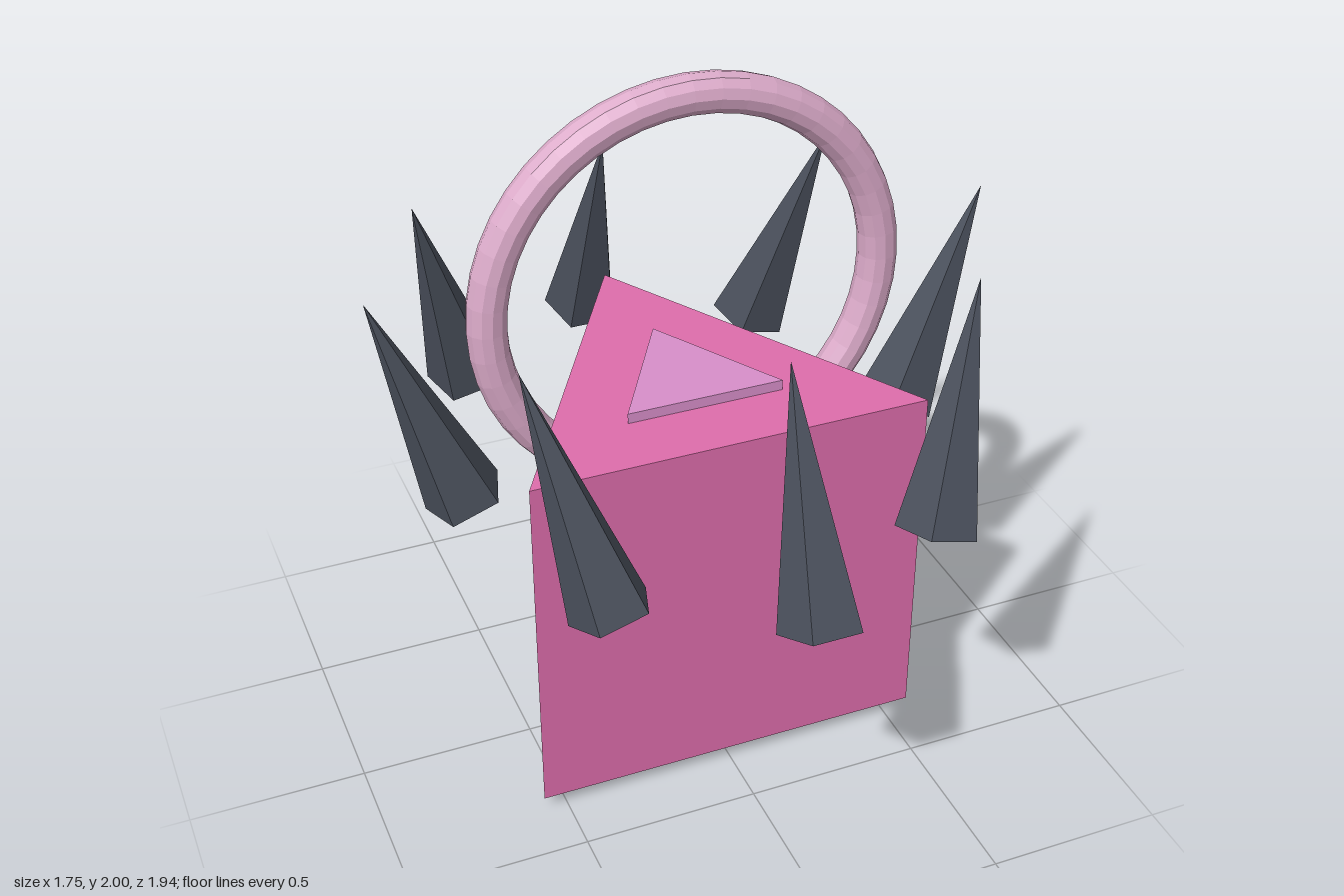
import * as THREE from 'three';

export function createModel() {
  const model = new THREE.Group();
  model.name = 'spikedPrismWithRing';

  const material = (name, color) => {
    const m = new THREE.MeshStandardMaterial({ color });
    m.name = name;
    m.flatShading = true;
    return m;
  };
  const pink = material('hot pink', 0xde6dac);
  const orchid = material('pale orchid', 0xd88fca);
  const rose = material('dusty rose', 0xdcabca);
  const slate = material('dark slate', 0x4a505c);

  const add = (name, geometry, mat, x, y, z) => {
    const mesh = new THREE.Mesh(geometry, mat);
    mesh.name = name;
    mesh.position.set(x, y, z);
    model.add(mesh);
    return mesh;
  };

  const Z = 0.007; // shared centre of all parts

  // Triangular prism with one corner pointing to the back
  const prism = (radius, height) =>
    new THREE.CylinderGeometry(radius, radius, height, 3).rotateY(Math.PI);
  add('body', prism(0.655, 1.05), pink, 0, 0.565, Z);

  // Small triangular plates on the top and underside
  add('topPlate', prism(0.26, 0.04), orchid, 0, 1.1, Z);
  add('bottomPlate', prism(0.26, 0.04), orchid, 0, 0.02, Z);

  // Upright ring sunk into the body
  add('ring', new THREE.TorusGeometry(0.56, 0.055, 12, 48), rose, 0, 1.385, Z);

  // Eight floating five-sided spikes, leaning inward at front and back, outward at the sides
  const spike = new THREE.ConeGeometry(0.115, 0.682, 5).rotateY(Math.PI);
  const tilt = 0.34;
  for (let i = 0; i < 8; i++) {
    const a = (i * Math.PI) / 4;
    const s = Math.sin(a), c = Math.cos(a);
    const mesh = add('spike' + (i + 1), spike, slate, 0.76 * s, 1.204, Z + 0.76 * c);
    mesh.rotation.set(-tilt * c, 0, -tilt * s);
  }

  return model;
}
